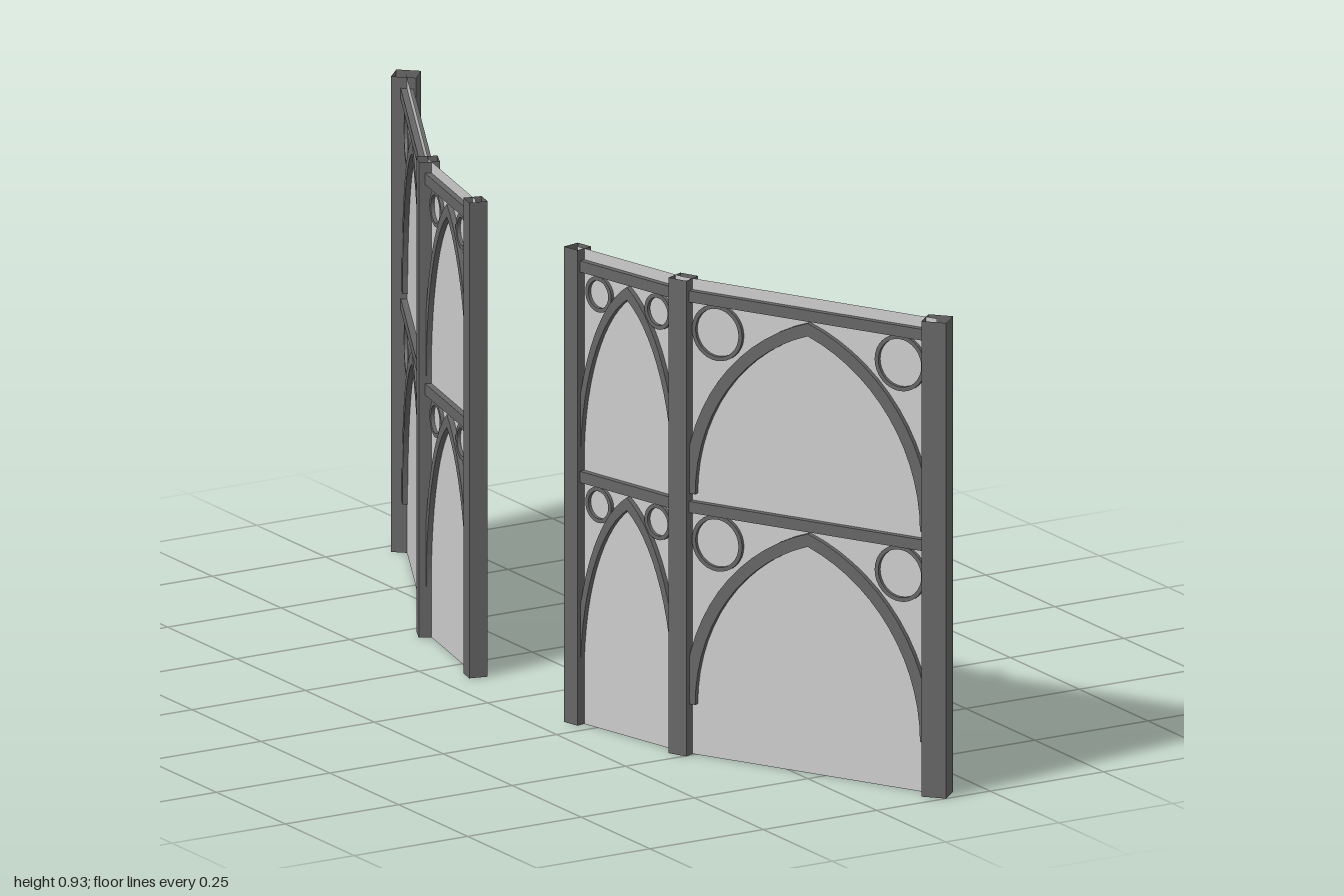
import * as THREE from 'three';

const HEIGHT = 0.933;
const TIER = 0.413; // vertical distance between the two tiers

const frameMat = new THREE.MeshStandardMaterial({ color: 0x666666, flatShading: true });
const postMat = new THREE.MeshStandardMaterial({ color: 0x666666, flatShading: true, side: THREE.DoubleSide });
const paneMat = new THREE.MeshStandardMaterial({ color: 0xcccccc, side: THREE.DoubleSide });

function add(parent, name, geometry, material, x = 0, y = 0, z = 0) {
  const mesh = new THREE.Mesh(geometry, material);
  mesh.name = name;
  mesh.position.set(x, y, z);
  parent.add(mesh);
  return mesh;
}

// Flat pointed-arch band made of two arcs per edge, squeezed to the half width
function archGeometry(halfWidth, band, depth) {
  const h = 0.27, rise = 0.372, base = 0.1, n = 14;
  const R = (rise * rise + h * h) / (2 * h), c = h - R;
  const squeeze = halfWidth / h;
  const edge = (r) => {
    const end = Math.acos(-c / r), right = [];
    for (let i = 0; i <= n; i++) {
      const a = (end * i) / n;
      right.push([c + r * Math.cos(a), base + r * Math.sin(a)]);
    }
    const left = right.slice(0, -1).reverse().map(([x, y]) => [-x, y]);
    return [...right, ...left].map(([x, y]) => new THREE.Vector2(x * squeeze, y));
  };
  const shape = new THREE.Shape([...edge(R), ...edge(R - band).reverse()]);
  const geo = new THREE.ExtrudeGeometry(shape, { depth, bevelEnabled: false });
  return geo.translate(0, 0, -depth / 2);
}

// Flat ring standing in the plane of the pane
function ringGeometry(radius, band, depth) {
  const shape = new THREE.Shape().absarc(0, 0, radius, 0, Math.PI * 2);
  shape.holes.push(new THREE.Path().absarc(0, 0, radius - band, 0, Math.PI * 2, true));
  const geo = new THREE.ExtrudeGeometry(shape, { depth, bevelEnabled: false, curveSegments: 16 });
  return geo.translate(0, 0, -depth / 2);
}

// Window bay spanning two posts: pane, rails, arches and rings in two tiers
function bay(name, from, to, style) {
  const group = new THREE.Group();
  group.name = name;
  const dx = to.x - from.x, dz = to.z - from.z;
  const length = Math.hypot(dx, dz);
  group.position.set((from.x + to.x) / 2, 0, (from.z + to.z) / 2);
  group.rotation.y = Math.atan2(-dz, dx);

  add(group, 'pane', new THREE.PlaneGeometry(length, HEIGHT), paneMat, 0, HEIGHT / 2);
  const arch = archGeometry(style.halfWidth, 0.024, 0.02);
  const ring = ringGeometry(style.ringRadius, 0.008, 0.014);
  for (let tier = 0; tier < 2; tier++) {
    const y = tier * TIER;
    add(group, 'rail', new THREE.BoxGeometry(length, 0.022, 0.024), frameMat, 0, 0.487 + y);
    add(group, 'arch', arch, frameMat, 0, y);
    for (const side of [-1, 1])
      add(group, 'ring', ring, frameMat, side * style.ringX, style.ringY + y);
  }
  return group;
}

// Open square tube post
function post(p) {
  const geo = new THREE.CylinderGeometry(p.size / Math.SQRT2, p.size / Math.SQRT2, HEIGHT, 4, 1, true);
  geo.rotateY(Math.PI / 4 + THREE.MathUtils.degToRad(p.angle));
  const mesh = new THREE.Mesh(geo, postMat);
  mesh.name = p.name;
  mesh.position.set(p.x, HEIGHT / 2, p.z);
  return mesh;
}

// One wing: three posts with a narrow and a wide bay between them
function wing(name, sign, posts) {
  const group = new THREE.Group();
  group.name = name;
  const names = ['innerPost', 'middlePost', 'outerPost'];
  const sizes = [0.036, 0.04, 0.048];
  const angles = [13, 25, 43];
  const placed = posts.map(([x, z], i) => ({
    name: names[i], x, z: z * sign, size: sizes[i], angle: angles[i] * sign,
  }));
  placed.forEach((p) => group.add(post(p)));
  group.add(bay('narrowBay', placed[0], placed[1],
    { halfWidth: 0.137, ringRadius: 0.035, ringX: 0.08, ringY: 0.44 }));
  group.add(bay('wideBay', placed[1], placed[2],
    { halfWidth: 0.27, ringRadius: 0.055, ringX: 0.2, ringY: 0.423 }));
  return group;
}

export function createModel() {
  const model = new THREE.Group();
  model.name = 'archedScreens';
  model.add(wing('frontWing', 1, [[-0.172, 0.198], [-0.108, 0.476], [0.154, 0.966]]));
  model.add(wing('backWing', -1, [[-0.172, 0.173], [-0.106, 0.453], [0.157, 0.966]]));
  return model;
}
